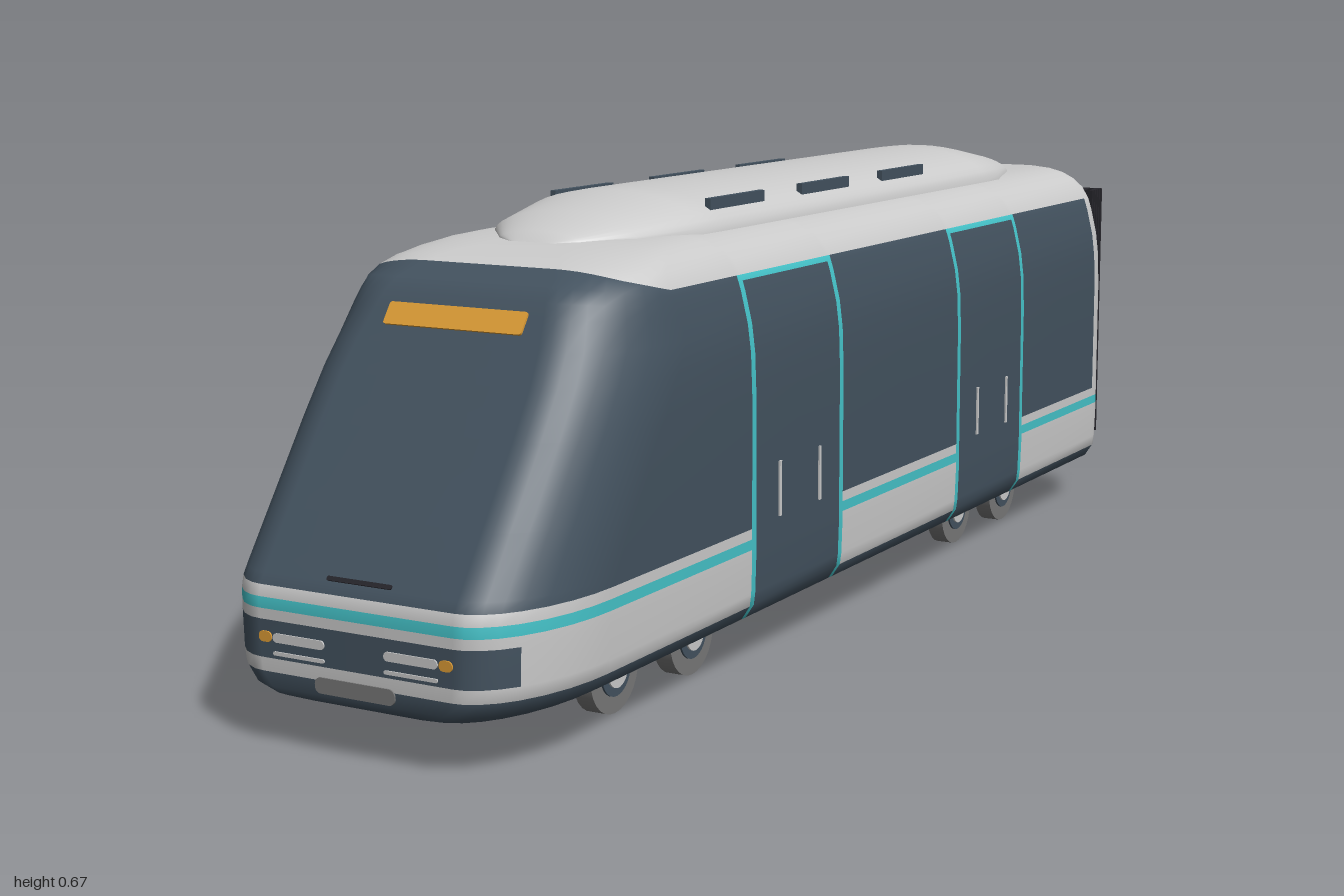
import * as THREE from 'three';

const mat = (name, color, side = THREE.FrontSide) => {
  const m = new THREE.MeshStandardMaterial({ color, side });
  m.name = name;
  return m;
};

// piecewise-linear lookup in [key, value] pairs
function look(table, k) {
  if (k <= table[0][0]) return table[0][1];
  for (let i = 1; i < table.length; i++) {
    const [a, va] = table[i - 1], [b, vb] = table[i];
    if (k <= b) return va + (vb - va) * (k - a) / (b - a);
  }
  return table[table.length - 1][1];
}

// half width, nose position and nose corner length by height
const WIDTH = [[0.063, 0.185], [0.07, 0.215], [0.08, 0.233], [0.1, 0.246], [0.13, 0.25], [0.4, 0.25], [0.46, 0.248],
  [0.5, 0.243], [0.55, 0.231], [0.575, 0.222], [0.595, 0.205], [0.61, 0.178], [0.617, 0.15], [0.62, 0.12]];
const NOSE = [[0.063, 0.975], [0.07, 0.99], [0.08, 0.996], [0.1, 0.998], [0.2, 0.998], [0.212, 0.994], [0.225, 0.986],
  [0.57, 0.745], [0.585, 0.725], [0.597, 0.69], [0.608, 0.645], [0.615, 0.6], [0.62, 0.55]];
const CORNER = [[0.5, 0.2], [0.62, 0.1]];

// rows of the shell: [height on the sides, height on the nose]
const ROWS = [0.063, 0.07, 0.08, 0.1, 0.118, 0.168, 0.182, 0.197, 0.212, 0.225, 0.3, 0.4, 0.46, 0.5, [0.53, 0.54],
  [0.545, 0.56], [0.558, 0.578], [0.566, 0.596], [0.585, 0.602], [0.6, 0.608], [0.611, 0.613], 0.617, 0.62]
  .map(r => Array.isArray(r) ? r : [r, r]);

const DOORS = [[0.144, 0.426], [-0.556, -0.274]];
const FRAME = 0.012;

// columns: -3 rear centre, -2..-1 rear corner, z on the sides, 1..2 nose corner, 3 nose centre
const PANEL = 1.54;
const HALF = [-3, -2, -1.75, -1.5, -1.25, -1, -0.9,
  ...[...DOORS].reverse().flatMap(([a, b]) => [a, a + FRAME, b - FRAME, b]),
  1, 1.12, 1.25, 1.4, PANEL, 1.66, 1.78, 1.9, 2, 3];

function shellPoint(s, row) {
  const a = (s - 1) * Math.PI / 2;
  const t = s < 1 ? 0 : s > 2 ? 1 : Math.sin(a);
  const y = row[0] + (row[1] - row[0]) * t;
  const w = look(WIDTH, y), f = look(NOSE, y), rz = look(CORNER, y);
  if (s === -3) return [0, y, -0.945];
  if (s <= -1) {
    const b = (s + 2) * Math.PI / 2;
    return [w - 0.03 + 0.03 * Math.sin(b), y, -0.915 - 0.03 * Math.cos(b)];
  }
  if (s < 1) return [w, y, s];
  if (s <= 2) return [w - 0.1 + 0.1 * Math.cos(a), y, f - rz + rz * t];
  return [0, y, f];
}

// material index by place: 0 navy, 1 light, 2 teal
function paint(y, s) {
  for (const [a, b] of DOORS) {
    if (s > a && s < b && y > 0.08 && y < 0.566) {
      return s < a + FRAME || s > b - FRAME || y > 0.558 ? 2 : 0;
    }
  }
  if (y < 0.1) return 0;
  if (y > 0.118 && y < 0.168 && s > PANEL) return 0;
  if (y > 0.182 && y < 0.197 && s > -2) return 2;
  return y > 0.212 && y < 0.566 && s > -0.9 ? 0 : 1;
}

function shellGeometry() {
  const cols = [...HALF.map(s => [s, 1]), ...HALF.slice(1, -1).reverse().map(s => [s, -1])];
  const n = cols.length, pos = [], faces = [[], [], []];
  for (const row of ROWS) {
    for (const [s, side] of cols) {
      const [x, y, z] = shellPoint(s, row);
      pos.push(x * side, y, z);
    }
  }
  const last = ROWS.length - 1, low = n * ROWS.length, high = low + 1;
  pos.push(0, ROWS[0][0], 0, 0, ROWS[last][0], 0);
  for (let c = 0; c < n; c++) {
    const d = (c + 1) % n, s = (cols[c][0] + cols[d][0]) / 2;
    for (let r = 0; r < last; r++) {
      const a = r * n + c, b = r * n + d;
      faces[paint((ROWS[r][0] + ROWS[r + 1][0]) / 2, s)].push(a, a + n, b, b, a + n, b + n);
    }
    faces[0].push(c, d, low);
    faces[1].push(last * n + d, last * n + c, high);
  }
  const g = new THREE.BufferGeometry();
  g.setAttribute('position', new THREE.Float32BufferAttribute(pos, 3));
  g.setIndex(faces.flat());
  let start = 0;
  faces.forEach((f, i) => { g.addGroup(start, f.length, i); start += f.length; });
  g.computeVertexNormals();
  return g;
}

// long dome made of half-ellipse sections [z, half width, height]
function podGeometry() {
  const sections = [[-0.882, 0.035, 0], [-0.865, 0.065, 0.014], [-0.79, 0.118, 0.036], [-0.66, 0.155, 0.056],
    [-0.6, 0.157, 0.057], [0.33, 0.157, 0.057], [0.39, 0.155, 0.056], [0.51, 0.118, 0.036], [0.575, 0.065, 0.014], [0.592, 0.035, 0]];
  const m = 20, pos = [], idx = [];
  sections.forEach(([z, w, h], i) => {
    for (let j = 0; j <= m; j++) {
      const p = j / m * Math.PI;
      pos.push(w * Math.cos(p), 0.616 + h * Math.sin(p), z);
      if (i < sections.length - 1 && j < m) {
        const a = i * (m + 1) + j, d = a + m + 1;
        idx.push(a, a + 1, d, a + 1, d + 1, d);
      }
    }
  });
  const g = new THREE.BufferGeometry();
  g.setAttribute('position', new THREE.Float32BufferAttribute(pos, 3));
  g.setIndex(idx);
  g.computeVertexNormals();
  return g;
}

// thin plate with rounded corners
function plate(w, h, r) {
  const x = w / 2, y = h / 2, s = new THREE.Shape();
  s.absarc(x - r, y - r, r, 0, Math.PI / 2);
  s.absarc(-x + r, y - r, r, Math.PI / 2, Math.PI);
  s.absarc(-x + r, -y + r, r, Math.PI, Math.PI * 1.5);
  s.absarc(x - r, -y + r, r, Math.PI * 1.5, Math.PI * 2);
  return new THREE.ExtrudeGeometry(s, { depth: 0.004, bevelEnabled: false, curveSegments: 6 });
}

export function createModel() {
  const navy = mat('navy', 0x43525f), light = mat('lightGrey', 0xcbcbcb), teal = mat('teal', 0x45c3c9);
  const amber = mat('amber', 0xdc9c36), black = mat('black', 0x26252b), grey = mat('midGrey', 0x787878);
  const model = new THREE.Group();
  const add = (name, geo, m, x = 0, y = 0, z = 0) => {
    const mesh = new THREE.Mesh(geo, m);
    mesh.name = name;
    mesh.position.set(x, y, z);
    model.add(mesh);
    return mesh;
  };

  add('bodyShell', shellGeometry(), [navy, light, teal]);
  add('roofPod', podGeometry(), light);

  // gangway bellows at the rear
  add('gangwayCore', new THREE.BoxGeometry(0.43, 0.45, 0.052), black, 0, 0.345, -0.97);
  for (let i = 0; i < 5; i++) {
    add('gangwayFold', new THREE.BoxGeometry(0.446, 0.464, 0.007), black, 0, 0.345, -0.9525 - i * 0.011);
  }

  // sign and wiper lie on the sloped windscreen
  const slope = -Math.atan2(0.241, 0.345);
  const sign = add('destinationSign', plate(0.218, 0.033, 0.004), amber, 0, 0.533, look(NOSE, 0.533) - 0.001);
  const wiper = add('wiper', plate(0.1, 0.006, 0.002), black, 0, 0.228, look(NOSE, 0.228) - 0.002);
  sign.rotation.x = wiper.rotation.x = slope;

  add('couplerCover', plate(0.124, 0.021, 0.009), grey, 0, 0.094, 0.996);

  for (const side of [-1, 1]) {
    // lamps
    add('headlight', plate(0.081, 0.012, 0.0055), light, side * 0.087, 0.146, 0.996);
    add('lowerLamp', plate(0.081, 0.005, 0.002), light, side * 0.087, 0.1255, 0.996);
    add('turnSignal', plate(0.02, 0.014, 0.0065), amber, side * 0.14, 0.146, 0.996);

    // roof vents
    for (const z of [0.26, -0.02, -0.3]) {
      add('roofVent', new THREE.BoxGeometry(0.009, 0.018, 0.16), navy, side * 0.131, 0.652, z);
    }

    // door handles
    for (const z of [0.345, 0.222, -0.357, -0.48]) {
      add('doorHandle', new THREE.BoxGeometry(0.005, 0.08, 0.006), light, side * 0.25, 0.255, z);
    }

    // wheels
    for (const z of [0.665, 0.46, -0.455, -0.66]) {
      const parts = [['wheel', 0.06, 0.028, grey, 0.158], ['wheelRecess', 0.036, 0.004, navy, 0.173],
        ['wheelHub', 0.024, 0.008, light, 0.174]];
      for (const [name, r, w, m, x] of parts) {
        add(name, new THREE.CylinderGeometry(r, r, w, 28), m, side * x, 0.06, z).rotation.z = Math.PI / 2;
      }
    }
  }
  return model;
}
